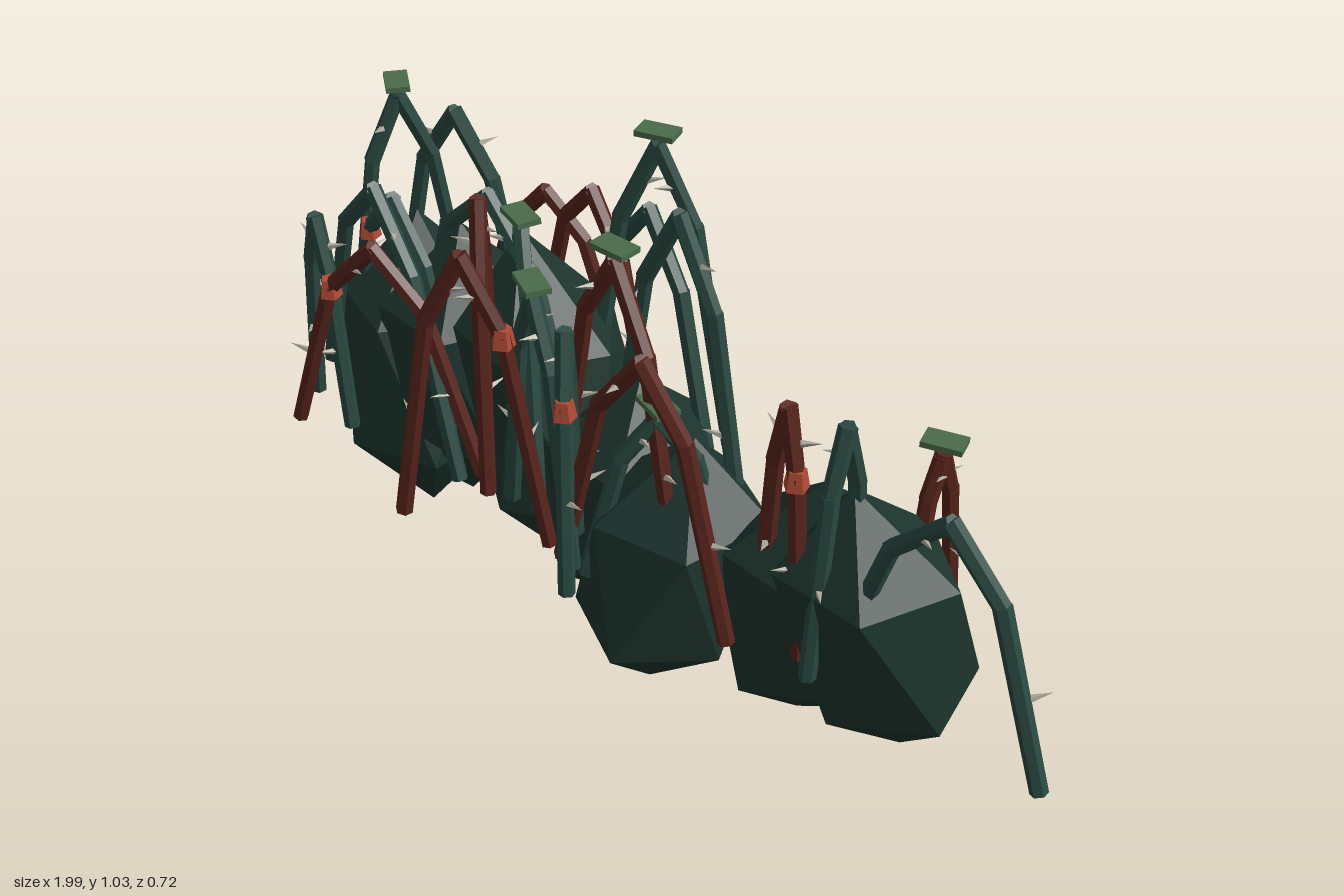
import * as THREE from 'three';

const mat = (color) => new THREE.MeshStandardMaterial({ color, flatShading: true });
const V = (x, y, z) => new THREE.Vector3(x, y, z);
const UP = V(0, 1, 0);

export function createModel() {
  const model = new THREE.Group();
  const mats = {
    bush: mat(0x1d342d), green: mat(0x294940), red: mat(0x58241c),
    leaf: mat(0x4a6c4a), bud: mat(0xb34a36), thorn: mat(0xb0aca0),
  };
  const add = (name, geo, material, parent = model) => {
    const m = new THREE.Mesh(geo, material);
    m.name = name;
    parent.add(m);
    return m;
  };

  // Foliage clump: a 20-sided solid with its poles stretched from a low point to a high point
  function clump(bottomX, bottomZ, topX, topY, topZ, yaw) {
    const geo = new THREE.IcosahedronGeometry(1, 0);
    const g = (1 + Math.sqrt(5)) / 2;
    geo.applyQuaternion(new THREE.Quaternion().setFromUnitVectors(V(0, 1, g).normalize(), UP));
    geo.rotateY(yaw);
    const bottom = V(bottomX, 0.01, bottomZ), top = V(topX, topY, topZ), p = geo.attributes.position;
    for (let i = 0; i < p.count; i++) {
      const c = bottom.clone().lerp(top, (p.getY(i) + 1) / 2);
      p.setXYZ(i, c.x + p.getX(i) * 0.2, c.y, c.z + p.getZ(i) * 0.2);
    }
    geo.computeVertexNormals();
    add('foliageClump', geo, mats.bush);
  }
  clump(0.55, -0.12, 0.5, 0.68, 0.01, 0.65);
  clump(0.34, -0.05, 0.4, 0.62, -0.03, 0.6);
  clump(0.07, 0.1, 0.12, 0.6, 0.03, 0.85);
  clump(-0.16, -0.03, -0.1, 0.6, -0.04, 0.6);
  clump(-0.27, -0.04, -0.45, 0.78, -0.04, 0.5);
  clump(-0.66, -0.04, -0.62, 0.73, -0.02, 0.6);
  clump(-0.69, 0.05, -0.82, 0.66, -0.06, 0.35);

  // Arching cane: four straight lengths along a parabola, with thorns and perhaps a leaf or bud
  let count = 0;
  function cane(color, x0, z0, x1, z1, peak, extra) {
    const group = new THREE.Group();
    group.name = color + 'Cane';
    model.add(group);
    const foot = 0.31 + 0.07 * (peak - 0.8);
    const pts = [0, 0.25, 0.5, 0.75, 1].map((t) => V(
      x0 + (x1 - x0) * t, foot + 4 * t * (1 - t) * (peak - foot), z0 + (z1 - z0) * t));
    count++;
    for (let i = 0; i < 4; i++) {
      const d = pts[i + 1].clone().sub(pts[i]);
      const m = add('caneLength', new THREE.CylinderGeometry(0.017, 0.018, d.length() + 0.01, 6), mats[color], group);
      m.position.copy(pts[i]).addScaledVector(d, 0.5);
      m.quaternion.setFromUnitVectors(UP, d.normalize());
      // Thorn sticking out sideways, turning from length to length
      const angle = count * 1.7 + i * 2.4;
      const out = V(Math.cos(angle), 0.25, Math.sin(angle)).normalize();
      const thorn = add('thorn', new THREE.ConeGeometry(0.008, 0.045, 4), mats.thorn, group);
      thorn.position.copy(m.position).addScaledVector(out, 0.034);
      thorn.quaternion.setFromUnitVectors(UP, out);
    }
    if (extra === 'leaf') {
      const leaf = add('leaf', new THREE.BoxGeometry(0.08, 0.012, 0.05), mats.leaf, group);
      leaf.position.copy(pts[2]).y += 0.03;
      leaf.rotation.y = 0.6 * Math.cos(count * 2);
    }
    if (extra === 'bud') {
      const bud = add('bud', new THREE.CylinderGeometry(0.018, 0.025, 0.04, 5), mats.bud, group);
      bud.position.copy(pts[3]);
    }
  }

  // Red canes: foot x and z, other foot x and z, peak height
  const red = (...c) => cane('red', ...c);
  red(-0.38, 0.15, -0.8, 0.3, 0.78, 'bud');
  red(-0.38, 0.35, -0.1, 0.21, 0.94, 'bud');
  red(-0.06, 0.21, 0.34, 0.16, 0.85);
  red(-0.47, -0.33, -0.8, -0.2, 0.7);
  red(-0.7, -0.3, -0.25, -0.21, 0.77);
  red(-0.49, 0.02, -0.31, 0.19, 0.92);
  red(-0.24, 0.05, 0.17, 0.12, 0.94, 'leaf');
  red(0.33, 0.06, 0.46, 0.09, 0.83, 'bud');
  red(0.51, -0.16, 0.53, -0.26, 0.65, 'leaf');

  // Green canes
  const green = (...c) => cane('green', ...c);
  green(0.52, 0.07, 0.98, 0.04, 0.77);
  green(0.5, -0.03, 0.51, 0.12, 0.83);
  green(-0.18, -0.04, 0.19, -0.04, 1.0);
  green(-0.35, -0.12, -0.08, -0.27, 1.0, 'leaf');
  green(-0.95, 0.03, -0.82, -0.19, 0.9, 'leaf');
  green(-0.98, -0.12, -0.63, -0.21, 0.86);
  green(-0.93, 0.12, -0.39, 0.2, 0.86);
  green(-0.8, -0.02, -0.2, 0.02, 0.85);
  green(-0.1, 0.14, 0.03, 0.28, 0.84, 'bud');
  green(-0.86, 0.21, -0.7, 0.24, 0.77);
  green(-0.48, -0.25, -0.02, -0.16, 0.84);
  green(0, 0.2, 0.2, 0.01, 0.67, 'leaf');
  green(-0.54, 0.07, -0.95, 0.04, 0.76, 'bud');
  green(-0.53, -0.09, -0.21, 0.14, 0.84, 'leaf');
  green(-0.27, 0.16, -0.02, 0.22, 0.86, 'leaf');

  return model;
}
